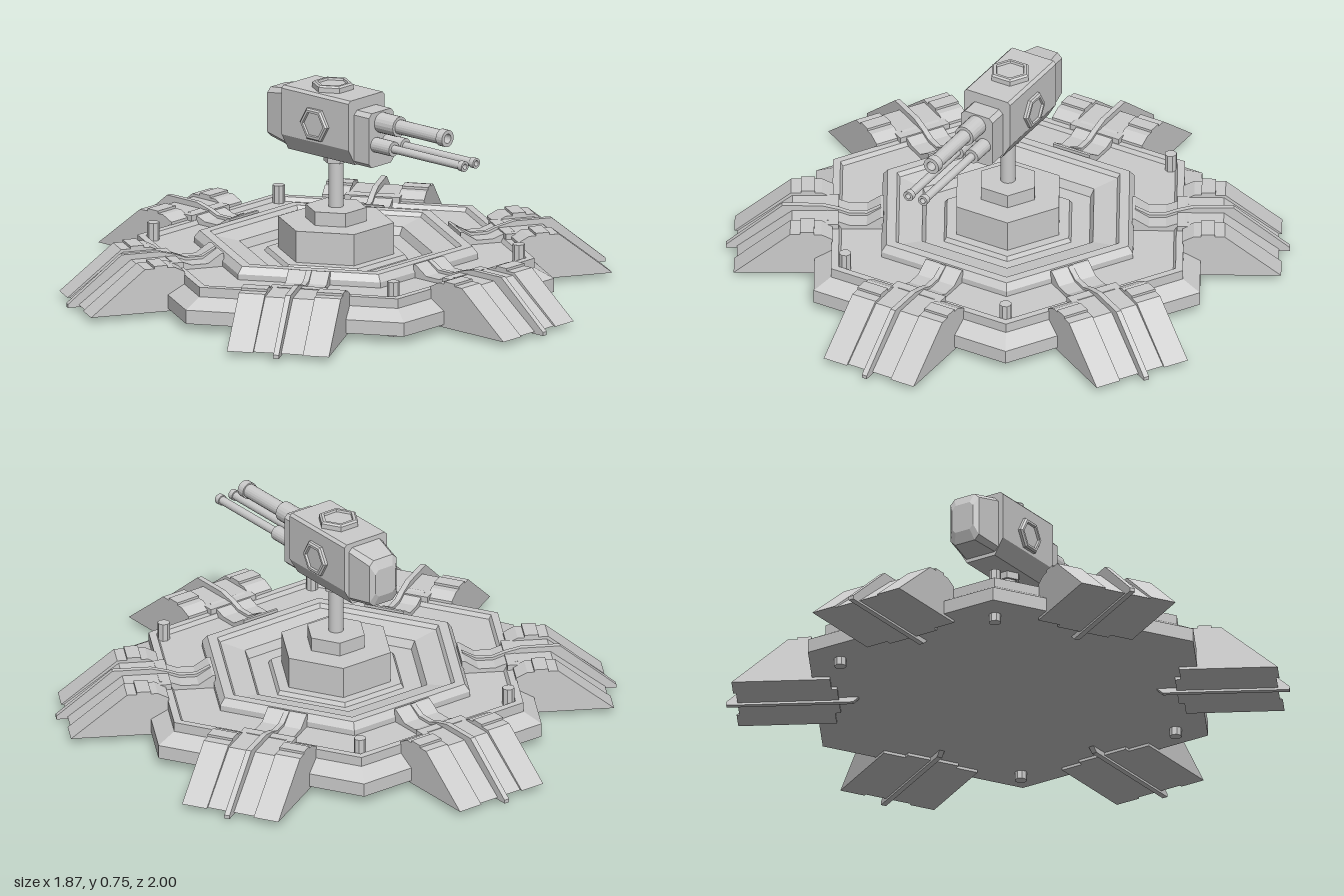
import * as THREE from 'three';

const material = new THREE.MeshStandardMaterial({ color: 0xcccccc, flatShading: true });
const smooth = new THREE.MeshStandardMaterial({ color: 0xcccccc });

function add(parent, name, geometry, x = 0, y = 0, z = 0, mat = material) {
  const mesh = new THREE.Mesh(geometry, mat);
  mesh.name = name;
  mesh.position.set(x, y, z);
  parent.add(mesh);
  return mesh;
}

const points = (list) => list.map(([x, y]) => new THREE.Vector2(x, y));

// six-sided solid from a [radius, y] profile, corners on the x axis
const hexLathe = (profile) => new THREE.LatheGeometry(points(profile), 6, Math.PI / 6);

// side profile in [z, y], extruded across x and centred
function slab(profile, width) {
  const g = new THREE.ExtrudeGeometry(new THREE.Shape(points(profile)), { depth: width, bevelEnabled: false });
  return g.translate(0, 0, -width / 2).rotateY(-Math.PI / 2);
}

// hollow-tipped barrel along +z, profile in [radius, z]
const barrel = (profile) => new THREE.LatheGeometry(points(profile), 20).rotateX(Math.PI / 2);

// solid lofted through rectangles with cut corners: [z, halfWidth, yBottom, yTop, cut]
function loft(sections) {
  const pos = [], idx = [], n = 8;
  for (const [z, w, b, t, c] of sections) {
    for (const [x, y] of [[w - c, b], [w, b + c], [w, t - c], [w - c, t], [c - w, t], [-w, t - c], [-w, b + c], [c - w, b]])
      pos.push(x, y, z);
  }
  for (let s = 0; s < sections.length - 1; s++)
    for (let i = 0; i < n; i++) {
      const a = s * n + i, b = s * n + (i + 1) % n;
      idx.push(a, b, b + n, a, b + n, a + n);
    }
  const last = (sections.length - 1) * n;
  for (let i = 1; i < n - 1; i++) idx.push(0, i + 1, i, last, last + i, last + i + 1);
  const g = new THREE.BufferGeometry();
  g.setAttribute('position', new THREE.Float32BufferAttribute(pos, 3));
  g.setIndex(idx);
  g.computeVertexNormals();
  return g;
}

function createLeg() {
  const leg = new THREE.Group();
  leg.name = 'leg';
  // recessed middle of the foot
  add(leg, 'footCore', slab([[0.6, 0.02], [0.96, 0.02], [0.765, 0.17], [0.6, 0.17]], 0.2));
  for (const s of [-1, 1]) {
    add(leg, 'footCheek', slab([[0.62, 0.02], [0.97, 0.02], [0.77, 0.18], [0.66, 0.18], [0.62, 0.16]], 0.095), s * 0.1375, 0, 0);
    add(leg, 'footPad', new THREE.BoxGeometry(0.095, 0.014, 0.05), s * 0.1375, 0.182, 0.71);
  }
  // channel running inward to the raised ring
  add(leg, 'channel', slab([[0.44, 0.1], [0.64, 0.1], [0.64, 0.172], [0.6, 0.165], [0.56, 0.15], [0.5, 0.15], [0.45, 0.183], [0.44, 0.183]], 0.15));
  // thin fin down the middle
  add(leg, 'fin', slab([[0.55, 0.012], [1.0, 0.012], [1.0, 0.025], [0.8, 0.19], [0.66, 0.19], [0.6, 0.175], [0.56, 0.16], [0.5, 0.16], [0.45, 0.187], [0.45, 0.1]], 0.02));
  return leg;
}

function createBase() {
  const base = new THREE.Group();
  base.name = 'base';
  // platform with bevelled skirt, rim, raised ring and sunken centre
  add(base, 'platform', hexLathe([
    [0, 0.03], [0.79, 0.03], [0.79, 0.08], [0.72, 0.115], [0.72, 0.15], [0.69, 0.15], [0.68, 0.135],
    [0.515, 0.135], [0.515, 0.155], [0.495, 0.18], [0.456, 0.18], [0.445, 0.165], [0.35, 0.15],
    [0.335, 0.12], [0, 0.12],
  ]));
  add(base, 'pedestal', hexLathe([[0.26, 0.12], [0.25, 0.135], [0.21, 0.135], [0.21, 0.25], [0.11, 0.25], [0.11, 0.3], [0, 0.3]]));
  for (let i = 0; i < 6; i++) {
    const leg = createLeg();
    leg.rotation.y = i * Math.PI / 3;
    base.add(leg);
  }
  for (const x of [-0.33, 0.33])
    for (const z of [-0.575, 0.575])
      add(base, 'peg', new THREE.CylinderGeometry(0.022, 0.022, 0.2, 8), x, 0.1, z);
  return base;
}

function createTurret() {
  const turret = new THREE.Group();
  turret.name = 'turret';
  add(turret, 'post', new THREE.CylinderGeometry(0.027, 0.027, 0.2, 20), 0, 0.39, 0, smooth);
  add(turret, 'collar', hexLathe([[0.035, 0.465], [0.045, 0.465], [0.045, 0.5]]));

  // housing cross-section in x and y, extruded along z
  const section = new THREE.Shape(points([[-0.06, 0.49], [0.06, 0.49], [0.095, 0.55], [0.095, 0.72], [0.085, 0.73], [-0.085, 0.73], [-0.095, 0.72], [-0.095, 0.55]]));
  add(turret, 'housing', new THREE.ExtrudeGeometry(section, { depth: 0.32, bevelEnabled: false }), 0, 0, -0.174);
  add(turret, 'frontBlock', loft([[0.14, 0.065, 0.49, 0.69, 0.015], [0.217, 0.065, 0.49, 0.69, 0.015]]));
  add(turret, 'rearCover', loft([
    [-0.29, 0.045, 0.555, 0.66, 0.015], [-0.275, 0.06, 0.515, 0.695, 0.018], [-0.17, 0.076, 0.503, 0.713, 0.015],
  ]));

  // hexagonal caps with a shallow recess
  const cap = (r) => hexLathe([[r, -0.01], [r, 0.012], [r * 0.9, 0.018], [r * 0.75, 0.018], [r * 0.72, 0.01], [0, 0.01]]);
  add(turret, 'topCap', cap(0.075), 0, 0.736, -0.015);
  for (const s of [-1, 1]) {
    const side = add(turret, 'sideCap', cap(0.065), s * 0.093, 0.617, -0.012);
    side.rotation.set(Math.PI / 2, 0, -s * Math.PI / 2, 'ZYX');
    side.rotation.set(0, 0, -s * Math.PI / 2);
    side.geometry.rotateY(Math.PI / 6);
  }

  // one main barrel above a pair of thin ones
  add(turret, 'mainBarrel', barrel([
    [0.037, 0.2], [0.037, 0.305], [0.026, 0.305], [0.026, 0.505], [0.031, 0.505], [0.031, 0.535], [0.017, 0.535], [0.017, 0.49], [0, 0.49],
  ]), 0, 0.648, 0);
  for (const s of [-1, 1])
    add(turret, 'thinBarrel', barrel([
      [0.027, 0.2], [0.027, 0.305], [0.015, 0.305], [0.015, 0.625], [0.019, 0.625], [0.019, 0.645], [0.01, 0.645], [0.01, 0.61], [0, 0.61],
    ]), s * 0.03, 0.572, 0);
  return turret;
}

export function createModel() {
  const model = new THREE.Group();
  model.name = 'turretEmplacement';
  model.add(createBase(), createTurret());
  return model;
}
